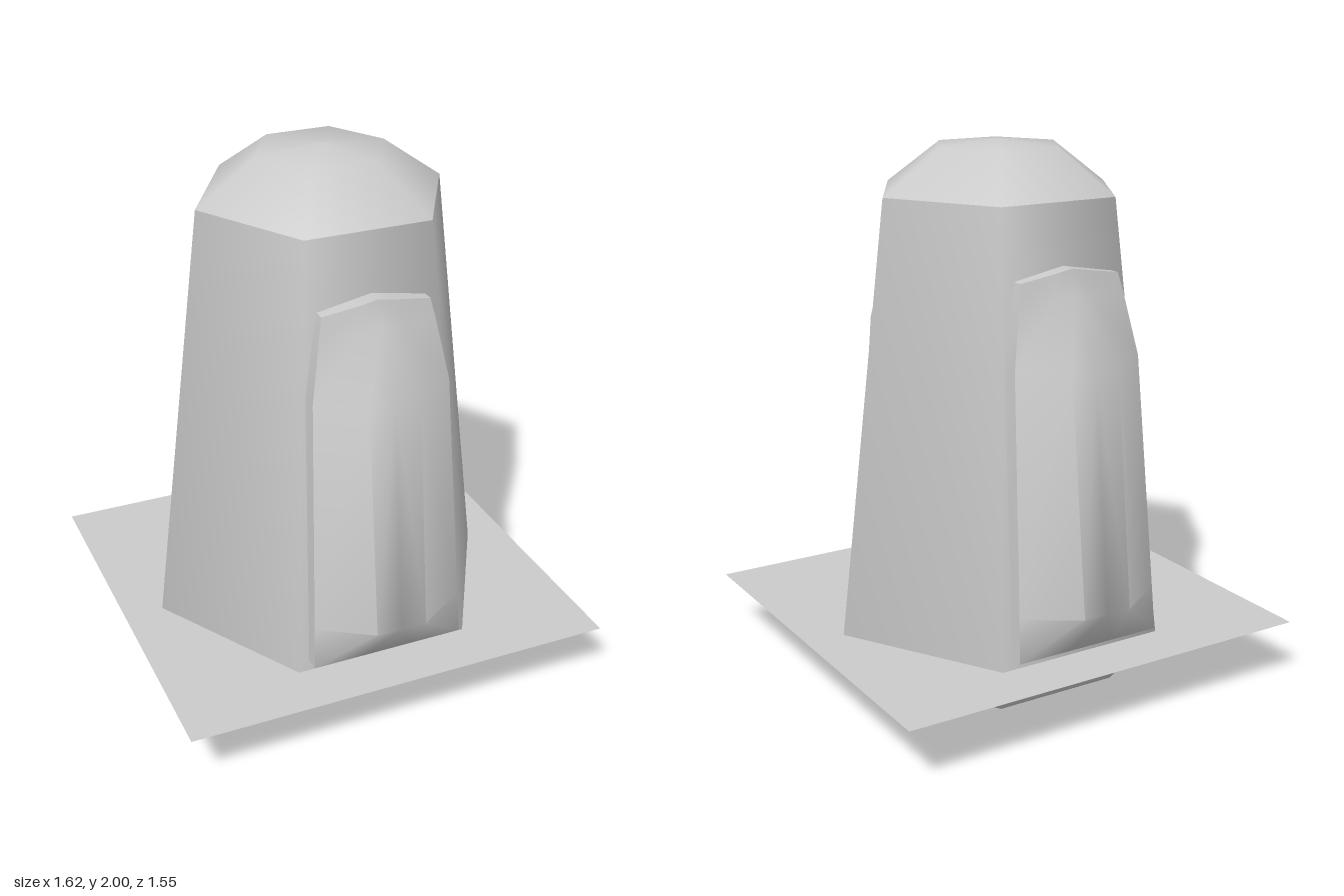
import * as THREE from 'three';
import { toCreasedNormals } from 'three/addons/utils/BufferGeometryUtils.js';

const material = new THREE.MeshStandardMaterial({ color: 0xcccccc, side: THREE.DoubleSide });

// Smooth-shaded six-sided shell with two corners on the x axis
function hexShell(name, profile) {
  const points = profile.map(([r, y]) => new THREE.Vector2(r, y));
  const mesh = new THREE.Mesh(new THREE.LatheGeometry(points, 6, Math.PI / 2), material);
  mesh.name = name;
  return mesh;
}

// Bulged panel lofted from rows of cross-sections, with a rim running back to the body
function panelGeometry() {
  // [half width, edge y, edge z, centre y, centre z, half width of the raised middle]
  const rows = [
    [0.29, 0.27, 0.62, 0.27, 0.62, 0.095],
    [0.284, 0.43, 0.606, 0.43, 0.727, 0.095],
    [0.255, 1.28, 0.525, 1.28, 0.63, 0.095],
    [0.215, 1.5, 0.485, 1.51, 0.505, 0.08],
    [0.2, 1.57, 0.47, 1.605, 0.483, 0.07],
  ];
  const backZ = (y) => 0.565 - 0.108 * (y - 0.23);
  const loft = rows.map(([w, ye, ze, yc, zc, m]) => {
    const ym = yc - (yc - ye) * (m / w);
    return [
      [-w, ye, backZ(ye)], [-w, ye, ze], [-m, ym, zc], [0, yc, zc],
      [m, ym, zc], [w, ye, ze], [w, ye, backZ(ye)],
    ];
  });
  // Close the bottom and top edges back into the body
  const toBody = (row) => row.map(([x, y]) => [x, y, backZ(y)]);
  loft.unshift(toBody(loft[0]));
  loft.push(toBody(loft[loft.length - 1]));

  const n = loft[0].length;
  const index = [];
  for (let r = 0; r < loft.length - 1; r++) {
    for (let c = 0; c < n - 1; c++) {
      const a = r * n + c, b = a + 1, d = a + n, e = d + 1;
      // Mirror the diagonals about the centre line
      if (c < n / 2 - 1) index.push(a, b, e, a, e, d);
      else index.push(a, b, d, b, e, d);
    }
  }
  const geometry = new THREE.BufferGeometry();
  geometry.setAttribute('position', new THREE.Float32BufferAttribute(loft.flat(2), 3));
  geometry.setIndex(index);
  return toCreasedNormals(geometry, 0.87);
}

export function createModel() {
  const model = new THREE.Group();
  model.name = 'taperedHexTower';

  // Tapered body with an inward-sloping, open foot
  model.add(hexShell('body', [[0.483, 0], [0.662, 0.23], [0.465, 1.82]]));

  // Low faceted cap
  model.add(hexShell('cap', [[0.465, 1.82], [0.24, 1.98], [0, 2]]));

  // Thin ground sheet through the widest part of the body
  const sheet = new THREE.Mesh(new THREE.PlaneGeometry(1.62, 1.55), material);
  sheet.name = 'baseSheet';
  sheet.rotation.x = -Math.PI / 2;
  sheet.position.y = 0.23;
  model.add(sheet);

  // Matching panels on front and back
  const geometry = panelGeometry();
  ['frontPanel', 'backPanel'].forEach((name, i) => {
    const panel = new THREE.Mesh(geometry, material);
    panel.name = name;
    panel.rotation.y = i * Math.PI;
    model.add(panel);
  });

  return model;
}
